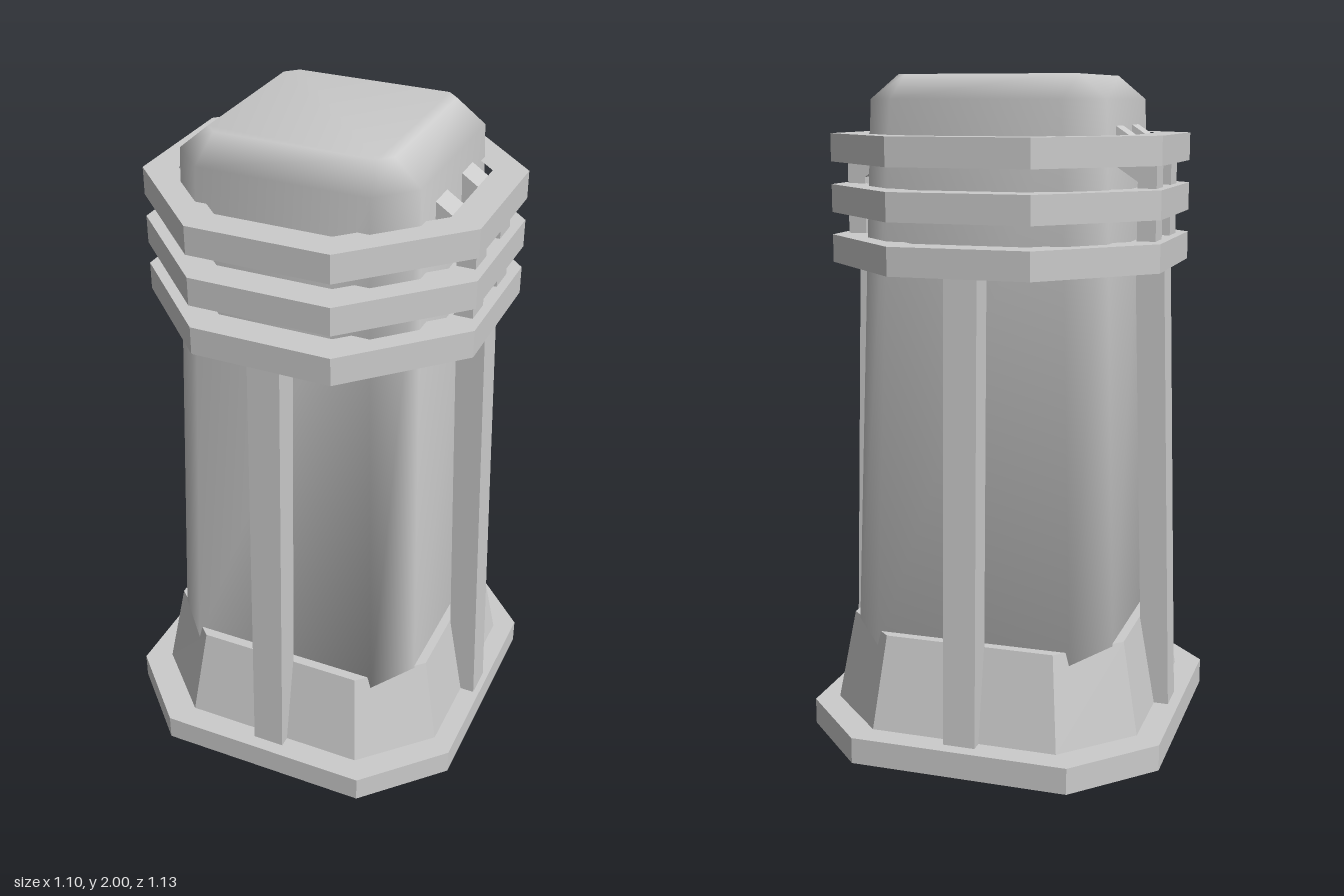
import * as THREE from 'three';

const SHIFT = 0.007; // the tower sits slightly off the plate's centre

// Eight plan points of an octagon: half sizes hx, hz and half lengths of the straight sides cx, cz
const octagon = (hx, hz, cx, cz) => [
  [cx, hz], [hx, cz], [hx, -cz], [cx, -hz], [-cx, -hz], [-hx, -cz], [-hx, cz], [-cx, hz],
];

// Solid skinned through octagonal sections, each [y, hx, hz, cx, cz], from bottom to top
function loft(sections, smooth) {
  const pos = [], idx = [], n = 8;
  for (const [y, ...size] of sections) for (const [x, z] of octagon(...size)) pos.push(x, y, z);
  for (let s = 0; s < sections.length - 1; s++) {
    for (let i = 0; i < n; i++) {
      const a = s * n + i, b = s * n + (i + 1) % n;
      idx.push(a, b, b + n, a, b + n, a + n);
    }
  }
  const top = (sections.length - 1) * n;
  for (let i = 1; i < n - 1; i++) {
    idx.push(0, i + 1, i);
    idx.push(top, top + i, top + i + 1);
  }
  let geo = new THREE.BufferGeometry();
  geo.setAttribute('position', new THREE.Float32BufferAttribute(pos, 3));
  geo.setIndex(idx);
  if (!smooth) geo = geo.toNonIndexed();
  geo.computeVertexNormals();
  return geo;
}

// Flat profile in (outward, up), extruded to a width centred on its own plane
function profile(points, width) {
  const shape = new THREE.Shape(points.map(([u, v]) => new THREE.Vector2(u, v)));
  return new THREE.ExtrudeGeometry(shape, { depth: width, bevelEnabled: false })
    .translate(0, 0, -width / 2);
}

export function createModel() {
  const group = new THREE.Group();
  const material = new THREE.MeshStandardMaterial({ color: 0xcccccc });
  const add = (name, geometry, x = SHIFT) => {
    const mesh = new THREE.Mesh(geometry, material);
    mesh.name = name;
    mesh.position.x = x;
    group.add(mesh);
    return mesh;
  };

  // Base plate and tapered skirt
  add('basePlate', loft([[0, 0.55, 0.565, 0.33, 0.34], [0.08, 0.55, 0.565, 0.33, 0.34]]), 0);
  add('skirt', loft([[0.08, 0.48, 0.49, 0.285, 0.295], [0.36, 0.43, 0.433, 0.258, 0.27]]));

  // Tapered body with soft corners and a bevelled crown
  add('body', loft([
    [0.3, 0.404, 0.406, 0.3, 0.3],
    [1.93, 0.352, 0.353, 0.25, 0.25],
    [2, 0.27, 0.27, 0.235, 0.235],
  ], true));

  // Three octagonal collars
  const toShape = (pts, Type) => new Type(pts.map(([x, z]) => new THREE.Vector2(x, z)));
  const collar = toShape(octagon(0.502, 0.502, 0.208, 0.208), THREE.Shape);
  collar.holes.push(toShape(octagon(0.407, 0.405, 0.17, 0.17), THREE.Path));
  const collarGeo = new THREE.ExtrudeGeometry(collar, { depth: 0.083, bevelEnabled: false })
    .rotateX(-Math.PI / 2);
  for (const y of [1.448, 1.598, 1.748]) add('collar', collarGeo).position.y = y;

  // Leaning strut on each of the four sides
  const strutGeo = profile([[0.44, 0.07], [0.525, 0.07], [0.481, 1.5], [0.395, 1.5]], 0.098);
  for (let i = 0; i < 4; i++) add('strut', strutGeo).rotation.y = i * Math.PI / 2;

  // Pairs of hooked brackets tying the collars to the left and right of the body
  const bracketGeo = profile([
    [0.42, 1.46], [0.475, 1.46], [0.475, 1.775], [0.345, 1.862], [0.33, 1.862], [0.33, 1.76], [0.42, 1.7],
  ], 0.087);
  for (const side of [0, Math.PI]) {
    for (const z of [-0.103, 0.103]) {
      const bracket = add('bracket', bracketGeo);
      bracket.rotation.y = side;
      bracket.position.z = z;
    }
  }
  return group;
}
